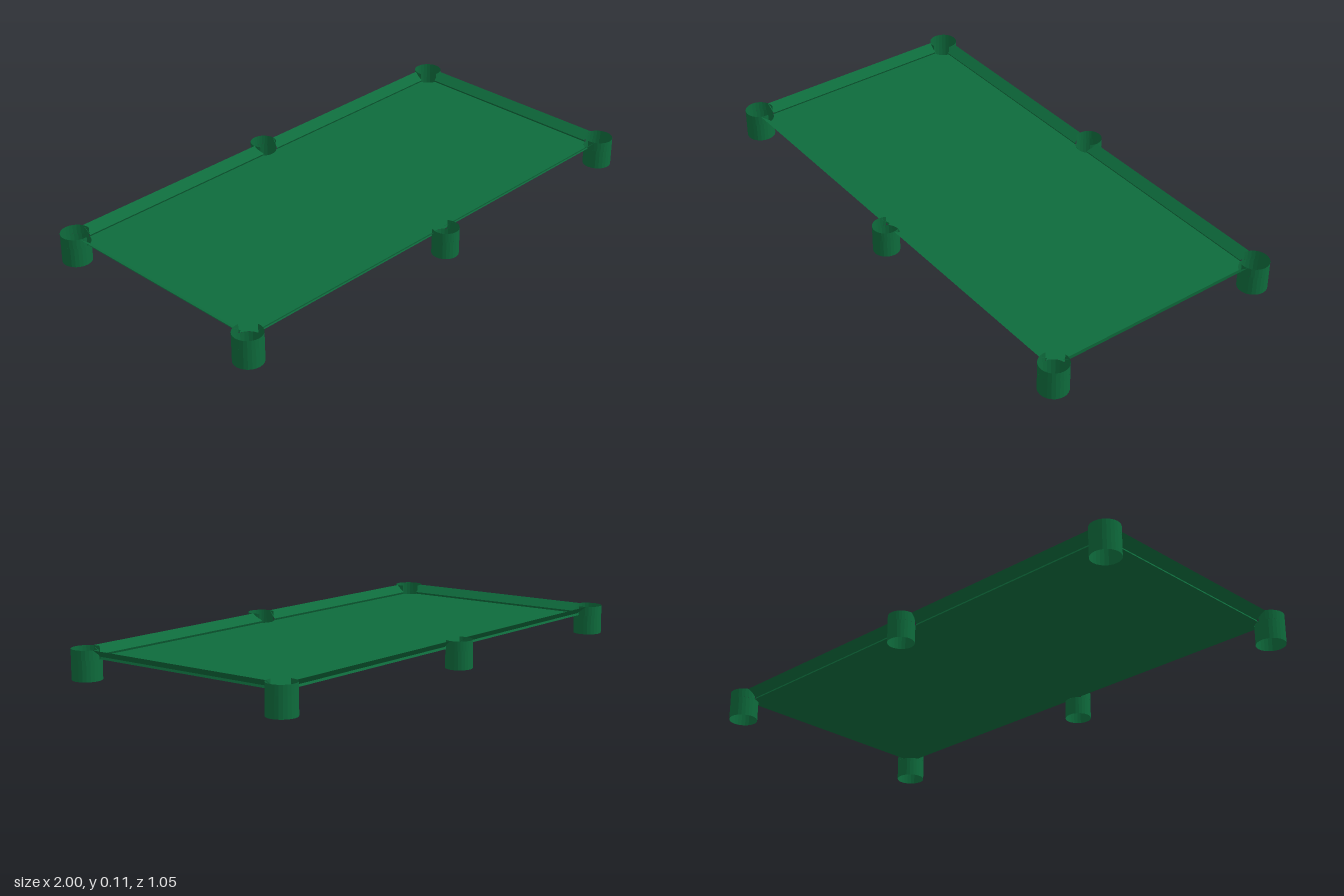
import * as THREE from 'three';

const BED_Y = 0.076, TOP_Y = 0.112;
const BED_X = 0.932, BED_Z = 0.44;
const CORNER = { x: 0.945, z: 0.45, r: 0.055 };
const MIDDLE = { x: 0, z: 0.475, r: 0.05 };

export function createModel() {
  const model = new THREE.Group();
  const felt = new THREE.MeshStandardMaterial({ color: 0x0e6b3c, side: THREE.DoubleSide, flatShading: true });
  felt.name = 'green felt';

  const add = (name, geometry, parent = model) => {
    const mesh = new THREE.Mesh(geometry, felt);
    mesh.name = name;
    parent.add(mesh);
    return mesh;
  };

  // Playing bed: a thin sheet with round bites at the six pockets
  const cx = CORNER.x - Math.sqrt(CORNER.r ** 2 - (CORNER.z - BED_Z) ** 2);
  const cz = CORNER.z - Math.sqrt(CORNER.r ** 2 - (CORNER.x - BED_X) ** 2);
  const mx = Math.sqrt(MIDDLE.r ** 2 - (MIDDLE.z - BED_Z) ** 2);
  const quarter = [];
  const arc = (p, x0, z0, x1, z1) => {
    const a0 = Math.atan2(z0 - p.z, x0 - p.x);
    let a1 = Math.atan2(z1 - p.z, x1 - p.x);
    if (a1 > a0) a1 -= Math.PI * 2;
    for (let i = 0; i <= 8; i++) {
      const a = a0 + (a1 - a0) * i / 8;
      quarter.push([p.x + p.r * Math.cos(a), p.z + p.r * Math.sin(a)]);
    }
  };
  // from the side rail, round the corner pocket, to the middle pocket
  const flip = Math.PI * 2;
  const sweep = (p, x0, z0, x1, z1) => {
    const a0 = (Math.atan2(z0 - p.z, x0 - p.x) + flip) % flip;
    const a1 = (Math.atan2(z1 - p.z, x1 - p.x) + flip) % flip;
    for (let i = 0; i <= 8; i++) {
      const a = a0 + (a1 - a0) * i / 8;
      quarter.push([p.x + p.r * Math.cos(a), p.z + p.r * Math.sin(a)]);
    }
  };
  sweep(CORNER, BED_X, cz, cx, BED_Z);
  sweep(MIDDLE, mx, BED_Z, 0, MIDDLE.z - MIDDLE.r);
  const back = [...quarter].reverse();
  const outline = [
    ...quarter,
    ...back.map(([x, z]) => [-x, z]),
    ...quarter.map(([x, z]) => [-x, -z]),
    ...back.map(([x, z]) => [x, -z]),
  ];
  const shape = new THREE.Shape(outline.map(([x, z]) => new THREE.Vector2(x, -z)));
  add('bed', new THREE.ShapeGeometry(shape).rotateX(-Math.PI / 2).translate(0, BED_Y, 0));

  // Cushion: sloping sheet with a small undercut; rows run from the bed to the outer lip
  const cushion = (rows) => {
    const pos = [], index = [];
    rows.forEach(([a, b]) => pos.push(...a, ...b));
    for (let i = 0; i < rows.length - 1; i++) {
      const k = i * 2;
      index.push(k, k + 1, k + 3, k, k + 3, k + 2);
    }
    const g = new THREE.BufferGeometry();
    g.setAttribute('position', new THREE.Float32BufferAttribute(pos, 3));
    g.setIndex(index);
    const flat = g.toNonIndexed();
    flat.computeVertexNormals();
    return flat;
  };
  const NOSE_Y = 0.084;

  for (const s of [1, -1]) {
    // long cushions, front and back; the winding keeps the normals facing inward
    for (const t of [1, -1]) {
      const row = (y, z, x0, x1) => {
        const ends = [[s * x0, y, t * z], [s * x1, y, t * z]];
        return s * t > 0 ? ends : ends.reverse();
      };
      add('longCushion', cushion([
        row(BED_Y, BED_Z, mx, cx),
        row(NOSE_Y, BED_Z - 0.004, mx, cx),
        row(TOP_Y, 0.472, 0.05, 0.893),
      ]));
    }
    // end cushions
    const row = (y, x, z) => [[s * x, y, s * z], [s * x, y, -s * z]];
    add('endCushion', cushion([
      row(BED_Y, BED_X, cz),
      row(NOSE_Y, BED_X - 0.004, cz),
      row(TOP_Y, 0.964, 0.4),
    ]));
  }

  // Pockets: open tube below the bed, and a collar left open towards the table above it
  const pocket = (name, p, sx, sz, bottom, gap) => {
    const group = new THREE.Group();
    group.name = name;
    group.position.set(sx * p.x, 0, sz * p.z);
    const h = BED_Y - bottom;
    add('pocketTube', new THREE.CylinderGeometry(p.r, p.r, h, 24, 1, true).translate(0, bottom + h / 2, 0), group);
    const inward = Math.atan2(-sx, -sz);
    const c = TOP_Y - BED_Y;
    add('pocketCollar', new THREE.CylinderGeometry(p.r, p.r, c, 20, 1, true,
      inward + gap / 2, Math.PI * 2 - gap).translate(0, BED_Y + c / 2, 0), group);
    model.add(group);
  };
  for (const sz of [1, -1]) {
    pocket('middlePocket', MIDDLE, 0, sz, 0.007, Math.PI * 0.62);
    for (const sx of [1, -1]) pocket('cornerPocket', CORNER, sx, sz, 0, Math.PI * 0.4);
  }
  return model;
}
